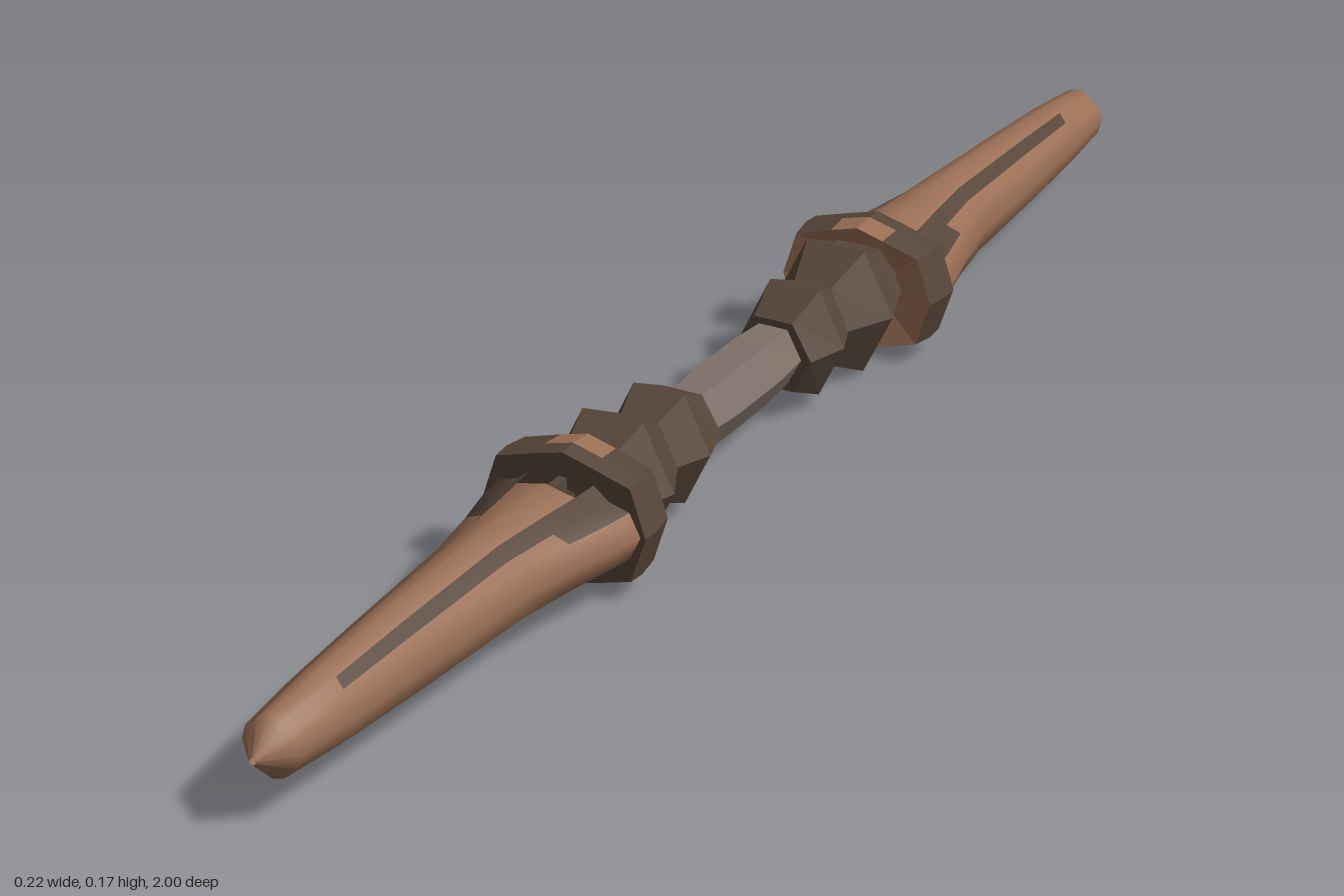
import * as THREE from 'three';

const CENTRE_Y = 0.086;

// Cross-section outlines: one quadrant from the +x side up to the top, in units of half width and half height
const HEX = [[1, 0], [0.5, 1]];
const OCTAGON = [[1, 0], [0.82, 0.7], [0.35, 0.88], [0, 1]];
const LOBED = [[1, 0], [0.86, 0.48], [0.6, 0.6], [0.4, 0.86], [0, 1]];

// Mirror a quadrant into a full counter-clockwise ring
function ring(quadrant) {
  const left = quadrant.filter(p => p[0] > 0).reverse().map(([x, y]) => [-x, y]);
  const upper = [...quadrant, ...left];
  const lower = upper.filter(p => p[1] > 0).reverse().map(([x, y]) => [x, -y]);
  return [...upper, ...lower];
}

// Loft through sections [z, half width, half height].
// paint(bay, strip) picks a material index, or -1 to leave an opening; strip counts from the side to the top.
function loft(name, quadrant, sections, materials, paint = () => 0, smooth = false) {
  const outline = ring(quadrant);
  const n = outline.length;
  const half = n / 2;
  const positions = [];
  for (const [z, w, h] of sections)
    for (const [x, y] of outline) positions.push(x * w, y * h, z);
  const buckets = materials.map(() => []);
  for (let i = 0; i < sections.length - 1; i++) {
    for (let j = 0; j < n; j++) {
      const strip = Math.min(j % half, half - 1 - (j % half));
      const m = paint(i, strip);
      if (m < 0) continue;
      const a = i * n + j, b = i * n + (j + 1) % n;
      buckets[m].push(a, b, b + n, a, b + n, a + n);
    }
  }
  let geometry = new THREE.BufferGeometry();
  geometry.setAttribute('position', new THREE.Float32BufferAttribute(positions, 3));
  geometry.setIndex(buckets.flat());
  if (!smooth) geometry = geometry.toNonIndexed();
  geometry.computeVertexNormals();
  let start = 0;
  buckets.forEach((bucket, m) => {
    geometry.addGroup(start, bucket.length, m);
    start += bucket.length;
  });
  const mesh = new THREE.Mesh(geometry, materials);
  mesh.name = name;
  return mesh;
}

export function createModel() {
  const tan = new THREE.MeshStandardMaterial({ color: 0x9a6f55, side: THREE.DoubleSide });
  tan.name = 'tan shell';
  const dark = new THREE.MeshStandardMaterial({ color: 0x564539, side: THREE.DoubleSide });
  dark.name = 'dark brown';
  const grey = new THREE.MeshStandardMaterial({ color: 0x7f7067 });
  grey.name = 'grey grip';

  const model = new THREE.Group();
  model.name = 'doubleEndedStaff';

  // Central grip, slightly swollen in the middle
  const grip = loft('grip', HEX, [
    [-0.12, 0.038, 0.036], [-0.05, 0.044, 0.039], [0.05, 0.044, 0.039], [0.12, 0.038, 0.036],
  ], [grey]);
  model.add(grip);

  for (const [name, turn] of [['frontEnd', 0], ['backEnd', Math.PI]]) {
    const end = new THREE.Group();
    end.name = name;
    end.rotation.y = turn;

    // Two faceted knuckles next to the grip
    end.add(loft('knuckles', HEX, [
      [0.11, 0.001, 0.001], [0.11, 0.052, 0.045], [0.165, 0.068, 0.07], [0.21, 0.05, 0.052],
      [0.27, 0.08, 0.081], [0.325, 0.06, 0.058], [0.36, 0.055, 0.055], [0.36, 0.001, 0.001],
    ], [dark]));

    // Collar: tan inner face, dark band with tan patches at top and bottom, dark outer face
    end.add(loft('collar', OCTAGON, [
      [0.34, 0.055, 0.045], [0.325, 0.103, 0.082], [0.358, 0.108, 0.085],
      [0.382, 0.107, 0.083], [0.382, 0.05, 0.04],
    ], [tan, dark], (bay, strip) => (bay === 0 || (bay === 1 && strip === 2) ? 0 : 1)));

    // Thin middle rib in the opening behind the collar
    const rib = new THREE.Mesh(new THREE.BoxGeometry(0.011, 0.105, 0.07), dark);
    rib.name = 'rib';
    rib.position.z = 0.4;
    end.add(rib);

    // Lobed shell with dark grooves; top and bottom lobes start after an opening
    end.add(loft('shell', LOBED, [
      [0.375, 0.102, 0.06], [0.418, 0.094, 0.06], [0.48, 0.078, 0.061], [0.56, 0.062, 0.062],
      [0.75, 0.052, 0.055], [0.87, 0.045, 0.048], [0.965, 0.037, 0.038], [1, 0.004, 0.004],
    ], [tan, dark], (bay, strip) => {
      if (bay === 0 && strip === 3) return -1;
      if (strip === 2 && bay < 5) return 1;
      return strip === 1 && bay < 2 ? 1 : 0;
    }, true));

    model.add(end);
  }

  for (const part of model.children) part.position.y = CENTRE_Y;
  return model;
}
